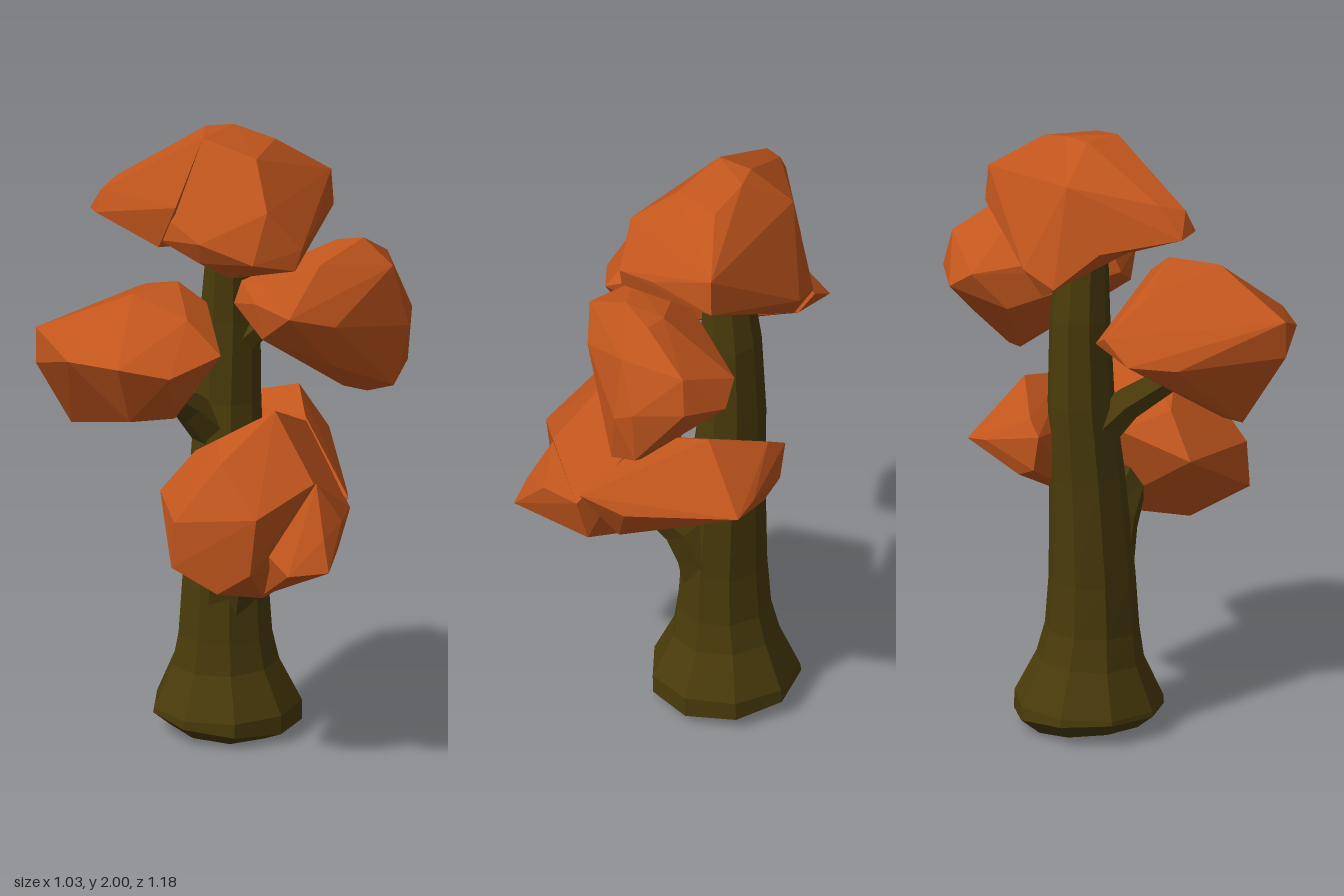
import * as THREE from 'three';
import { ConvexGeometry } from 'three/addons/geometries/ConvexGeometry.js';

// Faceted limb: rings of [x, y, z, radius] set across a path, capped at both ends
function limbGeometry(rings, sides) {
  const pts = rings.map(r => new THREE.Vector3(r[0], r[1], r[2]));
  const up = new THREE.Vector3(0, 1, 0);
  const pos = [], index = [];
  rings.forEach((r, i) => {
    const dir = pts[Math.min(i + 1, pts.length - 1)].clone().sub(pts[Math.max(i - 1, 0)]).normalize();
    const q = new THREE.Quaternion().setFromUnitVectors(up, dir);
    for (let s = 0; s < sides; s++) {
      const a = ((s + 0.5) / sides) * Math.PI * 2;
      const p = new THREE.Vector3(Math.sin(a) * r[3], 0, Math.cos(a) * r[3]).applyQuaternion(q).add(pts[i]);
      pos.push(p.x, Math.max(p.y, 0), p.z);
    }
  });
  const last = (rings.length - 1) * sides;
  for (let s = 0; s < sides; s++) {
    const n = (s + 1) % sides;
    for (let i = 0; i < last; i += sides) {
      index.push(i + s, i + n, i + sides + n, i + s, i + sides + n, i + sides + s);
    }
    if (s > 0 && s < sides - 1) {
      index.push(0, s + 1, s, last, last + s, last + s + 1);
    }
  }
  const g = new THREE.BufferGeometry();
  g.setAttribute('position', new THREE.Float32BufferAttribute(pos, 3));
  g.setIndex(index);
  const flat = g.toNonIndexed();
  flat.computeVertexNormals();
  return flat;
}

// Corner points of each faceted leaf clump
const clumps = {
  topFoliage: [
    [-.37, 1.84, .2], [-.24, 2, -.06], [-.2, 2, -.14], [-.15, 2, .02], [0, 1.95, -.08],
    [-.1, 1.96, -.23], [.14, 1.82, -.02], [.19, 1.69, -.12], [.18, 1.62, -.1], [.13, 1.65, .03],
    [-.02, 1.7, .13], [-.18, 1.68, .17], [-.06, 1.62, .1], [-.06, 1.83, -.42], [-.06, 1.71, -.43],
    [-.37, 1.89, -.1], [-.43, 1.56, -.13], [-.36, 1.51, -.18], [-.37, 1.6, -.24], [0, 1.57, .02],
    [-.15, 1.58, 0], [-.4, 1.7, 0], [.1, 1.72, -.24],
  ],
  topFoliageFrontLobe: [
    [-.4, 1.75, .28], [-.33, 1.76, .31], [-.34, 1.83, .28], [-.37, 1.85, .2], [-.24, 2, -.06],
    [-.15, 2, .02], [-.12, 1.8, .15], [-.17, 1.66, .18], [-.41, 1.68, 0], [-.22, 1.63, .08],
    [-.37, 1.89, -.1],
  ],
  frontFoliage: [
    [-.52, 1.35, .13], [-.46, 1.42, .04], [-.4, 1.38, 0], [-.47, 1.33, .28], [-.27, 1.45, .59],
    [-.27, 1.33, .59], [-.1, 1.38, .59], [.06, 1.38, .51], [.16, 1.35, .38], [.19, 1.4, .2],
    [-.02, 1.5, .1], [-.08, 1.57, .17], [-.09, 1.56, .34], [-.28, 1.5, .14], [-.27, 1.1, .45],
    [-.24, 1.1, .38], [0, 1.17, .42], [.08, 1.18, .3], [-.02, 1.3, .12], [.08, 1.5, .25],
    [-.35, 1.24, .2],
  ],
  backFoliage: [
    [.05, 1.44, -.59], [-.09, 1.42, -.54], [-.13, 1.48, -.46], [.21, 1.42, -.54], [.26, 1.38, -.49],
    [.3, 1.45, -.17], [.27, 1.5, -.01], [.13, 1.52, .02], [.13, 1.57, -.02], [.18, 1.62, -.2],
    [.14, 1.66, -.4], [.08, 1.65, -.34], [.23, 1.58, -.45], [.05, 1.56, -.56], [.16, 1.15, -.4],
    [.1, 1.16, -.35], [.26, 1.19, -.43], [.2, 1.24, -.53], [0, 1.3, -.3], [.14, 1.4, 0],
    [-.1, 1.36, -.35], [.25, 1.3, -.2], [-.01, 1.48, 0], [-.01, 1.55, -.03],
  ],
  sideFoliage: [
    [.21, 1.18, 0], [.34, .85, -.2], [.39, .98, -.02], [.38, .9, .2], [.36, .71, .21],
    [.17, .87, .37], [.17, .72, .38], [.28, .64, .28], [.28, .59, .1], [.1, .63, .2],
    [.08, .73, .25], [-.08, .88, .24], [0, 1.02, .16], [.1, 1.08, .15], [.22, 1.05, .22],
    [.25, .6, 0], [.1, .64, -.08], [.3, .7, -.18], [.12, 1.08, -.19], [-.03, .95, 0],
  ],
  sideFoliageTip: [
    [.51, .72, .01], [.47, .82, 0], [.44, .71, .12], [.43, .85, -.1], [.39, .98, -.03],
    [.34, .85, -.2], [.3, .7, -.18], [.28, .6, .1], [.3, .8, .15],
  ],
  sideFoliageRearLobe: [
    [-.33, 1.02, -.2], [-.31, .9, -.22], [-.2, .95, -.4], [-.14, .93, -.47], [-.27, 1.06, -.24],
    [-.07, 1.13, -.3], [.1, 1.09, -.2], [.2, .85, -.29], [.2, .7, -.18], [-.05, .78, -.27],
    [-.25, .86, -.28], [.1, .95, -.1], [.02, .72, -.18], [.33, .88, -.2], [.1, .64, -.08],
  ],
};

// Trunk and branches, each a path of rings plus its number of sides
const limbs = {
  trunk: [9, [
    [-.16, 0, -.07, .18], [-.155, .05, -.075, .242], [-.153, .09, -.075, .24], [-.155, .23, -.07, .173],
    [-.15, .33, -.065, .152], [-.15, .5, -.065, .14], [-.16, .85, -.08, .122], [-.175, 1.1, -.095, .108],
    [-.17, 1.38, -.1, .098], [-.15, 1.68, -.09, .075],
  ]],
  sideBranch: [8, [
    [-.14, .36, -.06, .115], [-.11, .55, -.06, .125], [-.05, .67, -.05, .118], [.06, .75, -.02, .095],
    [.2, .82, .02, .07],
  ]],
  frontBranch: [6, [[-.17, .98, -.06, .08], [-.17, 1.1, .06, .055], [-.16, 1.25, .28, .035]]],
  backBranch: [6, [[-.15, 1.27, -.1, .06], [-.05, 1.38, -.16, .04], [.08, 1.44, -.26, .03]]],
};

export function createModel() {
  const bark = new THREE.MeshStandardMaterial({ color: 0x4a3b0b });
  bark.name = 'bark';
  const leaves = new THREE.MeshStandardMaterial({ color: 0xc2561d });
  leaves.name = 'leaves';

  const tree = new THREE.Group();
  tree.name = 'tree';
  const add = (name, geometry, material) => {
    const mesh = new THREE.Mesh(geometry, material);
    mesh.name = name;
    tree.add(mesh);
  };

  for (const [name, [sides, rings]] of Object.entries(limbs)) {
    add(name, limbGeometry(rings, sides), bark);
  }
  for (const [name, corners] of Object.entries(clumps)) {
    add(name, new ConvexGeometry(corners.map(c => new THREE.Vector3(...c))), leaves);
  }
  return tree;
}
